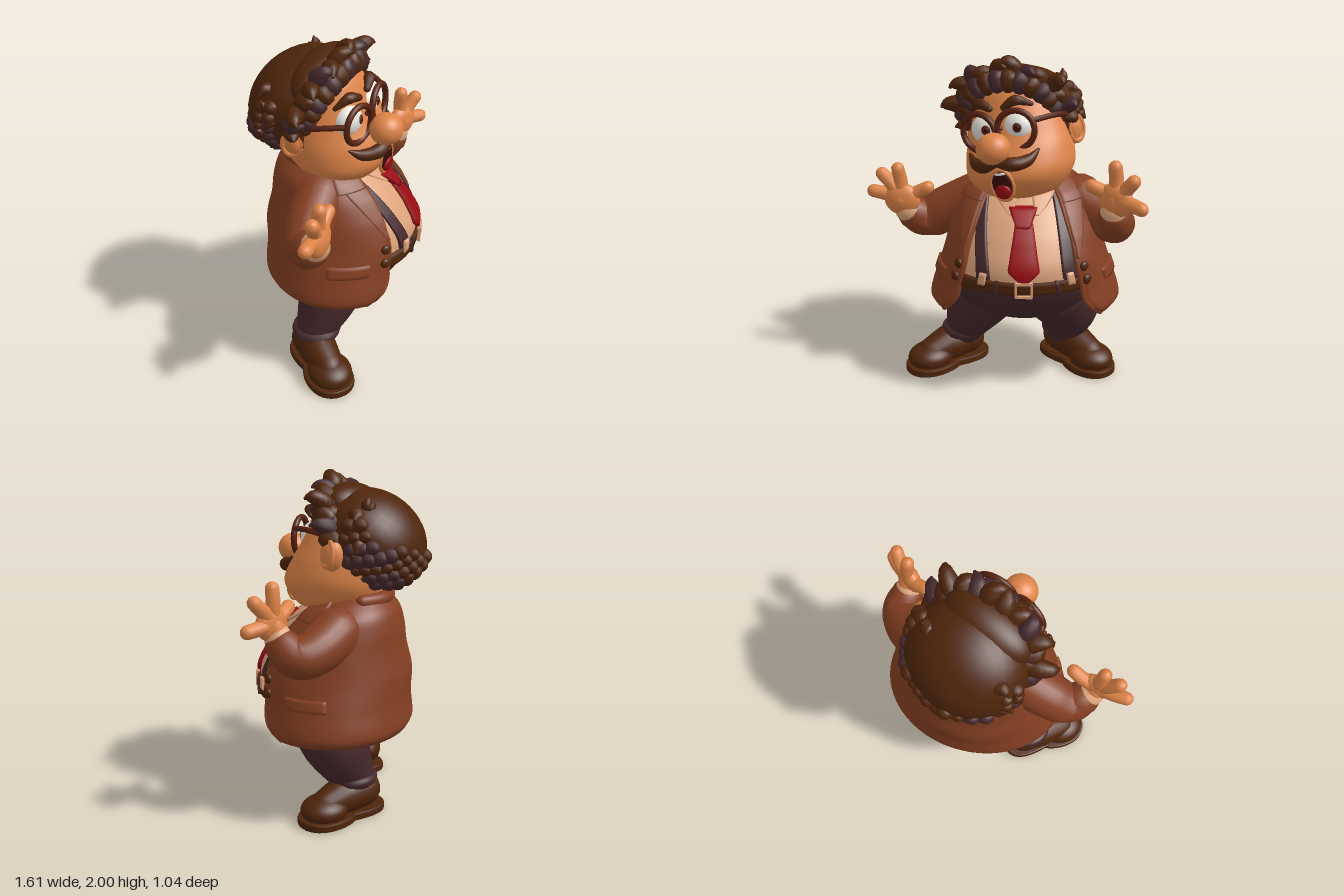
import * as THREE from 'three';

const V = (x, y, z) => new THREE.Vector3(x, y, z);
const D = Math.PI / 180;

function material(name, color) {
  const m = new THREE.MeshStandardMaterial({ color, side: THREE.DoubleSide });
  m.name = name;
  return m;
}

// Skin closed loops of points into a smooth surface
function loft(rows) {
  const n = rows[0].length, pos = [], idx = [];
  rows.forEach(r => r.forEach(p => pos.push(p.x, p.y, p.z)));
  for (let i = 0; i < rows.length - 1; i++) for (let j = 0; j < n; j++) {
    const a = i * n + j, b = i * n + (j + 1) % n, c = b + n, d = a + n;
    idx.push(a, b, c, a, c, d);
  }
  const g = new THREE.BufferGeometry();
  g.setAttribute('position', new THREE.Float32BufferAttribute(pos, 3));
  g.setIndex(idx);
  g.computeVertexNormals();
  return g;
}

// Rounded tapering tube through points [x, y, z, radius]
function limb(pts, seg = 14, sides = 14) {
  const curve = new THREE.CatmullRomCurve3(pts.map(p => V(p[0], p[1], p[2])));
  const fr = curve.computeFrenetFrames(seg), rows = [], k = pts.length - 1;
  const ring = (i, shift, scale) => {
    const f = i / seg * k, a = Math.min(Math.floor(f), k - 1);
    const r = THREE.MathUtils.lerp(pts[a][3], pts[a + 1][3], f - a);
    const c = curve.getPoint(i / seg).addScaledVector(fr.tangents[i], shift * r), row = [];
    for (let j = 0; j < sides; j++) {
      const t = j / sides * Math.PI * 2;
      row.push(c.clone().addScaledVector(fr.normals[i], Math.cos(t) * r * scale)
        .addScaledVector(fr.binormals[i], Math.sin(t) * r * scale));
    }
    rows.push(row);
  };
  for (let q = 4; q > 0; q--) ring(0, -Math.sin(q * 22.5 * D), Math.cos(q * 22.5 * D));
  for (let i = 0; i <= seg; i++) ring(i, 0, 1);
  for (let q = 1; q <= 4; q++) ring(seg, Math.sin(q * 22.5 * D), Math.cos(q * 22.5 * D));
  return loft(rows);
}

// Smoothly read a table of sections [y, radiusX, radiusZ, shiftZ]
function section(table, y) {
  let i = 0;
  while (i < table.length - 2 && y > table[i + 1][0]) i++;
  const at = k => table[Math.max(0, Math.min(table.length - 1, k))];
  const t = THREE.MathUtils.clamp((y - at(i)[0]) / (at(i + 1)[0] - at(i)[0]), 0, 1);
  return [1, 2, 3].map(c => {
    const [a, b, d, e] = [at(i - 1)[c], at(i)[c], at(i + 1)[c], at(i + 2)[c]];
    return b + 0.5 * t * (d - a + t * (2 * a - 5 * b + 4 * d - e + t * (3 * (b - d) + e - a)));
  });
}
const onBody = (table, y, phi, off) => {
  const [rx, rz, s] = section(table, y);
  return V((rx + off) * Math.sin(phi), y, s + (rz + off) * Math.cos(phi));
};

// Closed body from a section table
function shell(table, n = 36) {
  const y0 = table[0][0], y1 = table[table.length - 1][0], rows = [];
  for (let i = 0; i <= n; i++) {
    const y = y0 + (y1 - y0) * i / n;
    rows.push(Array.from({ length: 48 }, (_, j) => onBody(table, y, j / 48 * Math.PI * 2, 0)));
  }
  return loft(rows);
}

// Thick cloth panel wrapped on a section table; edges(y) gives its two angles in degrees
function wrap(table, y0, y1, edges, off, thick, cols = 8, n = 20) {
  const rows = [];
  for (let i = -1; i <= n + 1; i++) {
    const y = y0 + (y1 - y0) * Math.max(0, Math.min(n, i)) / n;
    const o = i < 0 || i > n ? off - thick : off, [a, b] = edges(y), row = [];
    for (let j = 0; j <= cols; j++) row.push(onBody(table, y, (a + (b - a) * j / cols) * D, o));
    for (let j = cols; j >= 0; j--) row.push(onBody(table, y, (a + (b - a) * j / cols) * D, off - thick));
    rows.push(row);
  }
  return loft(rows);
}

export function createModel() {
  const skin = material('skin', 0xde8448), coat = material('coat', 0x843f22), brown = material('dark brown', 0x4e250b),
    plum = material('plum', 0x45282b), shirt = material('shirt', 0xdda47c), red = material('red', 0x980d13),
    white = material('white', 0xe8e6e0), frame = material('frame brown', 0x572210), dark = material('dark mouth', 0x3a0c0c);
  const model = new THREE.Group(), body = new THREE.Group(), head = new THREE.Group();
  const add = (parent, name, geo, mat, p = [0, 0, 0], s = [1, 1, 1], r = [0, 0, 0]) => {
    const m = new THREE.Mesh(geo, mat);
    m.name = name; m.position.set(...p); m.scale.set(...s); m.rotation.set(...r);
    parent.add(m);
    return m;
  };
  const ball = new THREE.SphereGeometry(1, 28, 20), lump = new THREE.SphereGeometry(1, 9, 7);

  // Torso
  body.name = 'torso'; body.position.set(.01, 0, -.005); body.rotation.y = 35 * D;
  const torso = [[.51, .55, .46, 0], [.55, .58, .48, 0], [.7, .54, .467, 0], [.85, .49, .47, 0], [1, .45, .415, -.02],
    [1.12, .41, .36, -.06], [1.22, .36, .29, -.1], [1.3, .26, .2, -.12], [1.34, .15, .12, -.12]];
  const half = (y, s) => (s > 0 ? 40 : 46) - 8 * Math.max(0, (y - .95) / .35) + 18 * Math.max(0, (.66 - y) / .15) ** 2;
  add(body, 'shirt', wrap(torso, .72, 1.3, () => [-75, 75], -.03, .08, 24), shirt);
  add(body, 'trouserSeat', shell([[.41, .01, .01, 0], [.43, .19, .18, -.01], [.5, .36, .32, -.02], [.6, .45, .4, -.025], [.7, .48, .43, -.01], [.77, .46, .43, 0]]), plum);
  add(body, 'coat', wrap(torso, .51, 1.335, y => [half(y, 1), 360 - half(y, -1)], 0, .03, 56, 40), coat);
  add(body, 'belt', wrap(torso, .715, .785, () => [-65, 65], -.008, .04, 24, 4), brown);
  for (const [x, y, w, h] of [[0, .79, .1, .015], [0, .71, .1, .015], [-.045, .75, .015, .08], [.045, .75, .015, .08]])
    add(body, 'beltBuckle', new THREE.BoxGeometry(w, h, .02), shirt, [x, y, .467]);
  for (const a of [-18, 22])
    add(body, 'beltLoop', wrap(torso, .705, .795, () => [a - 1.3, a + 1.3], .001, .02, 2, 3), plum);
  // Tie: knot and blade
  const tieWidth = y => y < .86 ? 11 * (y - .775) / .085 + .3 : 11 - (y - .86) * 16;
  add(body, 'tie', wrap(torso, .775, 1.09, y => [-tieWidth(y), tieWidth(y)], -.005, .025, 8), red);
  add(body, 'tieKnot', wrap(torso, 1.075, 1.17, y => [-5 - (y - 1.07) * 80, 4 + (y - 1.07) * 70], .008, .04, 8, 6), red);
  for (const s of [-1, 1]) {
    const mirror = (a, b) => s > 0 ? [a, b] : [-b, -a];
    const slant = y => s > 0 ? 0 : (y - .93) * 32;
    add(body, 'suspender', wrap(torso, .79, 1.24, y => mirror(28 + slant(y), 38 + slant(y)), -.014, .02), plum);
    add(body, 'suspenderClip', wrap(torso, .76, .83, () => mirror(30 + slant(.8), 35 + slant(.8)), 0, .02, 4, 4), shirt);
    add(body, 'shirtCollar', wrap(torso, 1.13, 1.29, y => mirror(9 - (y - 1.13) * 20, 12 + (y - 1.13) * 190), -.008, .025), shirt);
    add(body, 'lapel', wrap(torso, .9, 1.2, y => mirror(half(y, s) - 1, half(y, s) + (y - .9) * 80), .014, .02), coat);
    add(body, 'lapelTop', wrap(torso, 1.18, 1.32, y => mirror(half(y, s) - 1, half(y, s) + 30), .016, .025), coat);
    add(body, 'pocketFlap', wrap(torso, .72, .785, () => mirror(62, 92), .014, .02, 10, 4), coat);
    for (const y of [.77, .85]) {
      const a = s * (half(y, s) + 4) * D, p = onBody(torso, y, a, .006);
      add(body, 'coatButton', ball, brown, p.toArray(), [.03, .03, .018], [0, a, 0]);
    }
    // Rolled front edge of the coat
    const edge = Array.from({ length: 12 }, (_, i) => {
      const y = .52 + i * .067;
      return [...onBody(torso, y, s * half(y, s) * D, -.012).toArray(), .016];
    });
    add(body, 'coatEdge', limb(edge, 36, 8), coat);
  }
  add(body, 'coatCollar', limb([-110, -145, 180, 145, 110].map(a => [.25 * Math.sin(a * D), 1.29, -.12 + .2 * Math.cos(a * D), .04])), coat);
  model.add(body);

  // Arms and hands, palms open
  const arms = [
    { sleeve: [[-.27, 1.13, .08, .15], [-.46, 1.03, .18, .14], [-.55, .975, .25, .125], [-.58, 1.02, .325, .105]],
      cuff: [[-.58, 1.02, .325, .092], [-.59, 1.055, .365, .085]], palm: [-.6, 1.13, .41], yaw: .45,
      tips: [[-.765, 1.17, .48], [-.7, 1.285, .465], [-.61, 1.32, .425], [-.46, 1.21, .335]] },
    { sleeve: [[.25, 1.13, -.23, .15], [.41, 1.06, -.23, .135], [.53, 1.035, -.19, .12], [.56, 1.1, -.12, .1]],
      cuff: [[.56, 1.1, -.12, .088], [.57, 1.145, -.095, .08]], palm: [.595, 1.23, -.07], yaw: 0,
      tips: [[.765, 1.21, -.06], [.71, 1.36, -.06], [.585, 1.42, -.07], [.445, 1.29, -.05]] }];
  for (const a of arms) {
    add(model, 'sleeve', limb(a.sleeve, 20, 22), coat);
    add(model, 'shirtCuff', limb(a.cuff, 4, 20), shirt);
    add(model, 'wrist', limb([[...a.cuff[1].slice(0, 3), .07], [...a.palm, .06]], 6), skin);
    add(model, 'palm', ball, skin, a.palm, [.11, .1, .055], [0, a.yaw, 0]);
    a.tips.forEach((t, i) => {
      const mid = V(...a.palm).lerp(V(...t), .55);
      mid.z -= .01;
      add(model, i === 3 ? 'thumb' : 'finger', limb([[...a.palm, .045], [...mid.toArray(), .042], [...t, .04]], 8, 12), skin);
    });
  }

  // Legs, trouser cuffs and shoes
  const legs = [
    { pts: [[-.18, .58, .08, .23], [-.27, .42, .13, .19], [-.37, .24, .13, .125]], shoe: [-.435, 0, .23], yaw: -18 },
    { pts: [[.19, .58, -.09, .23], [.2, .42, -.2, .2], [.14, .24, -.265, .135]], shoe: [.235, 0, -.265], yaw: 78 }];
  const soleShape = new THREE.Shape();
  soleShape.moveTo(0, -.28);
  soleShape.bezierCurveTo(.15, -.28, .11, -.08, .1, -.02);
  soleShape.bezierCurveTo(.16, .08, .15, .28, 0, .28);
  soleShape.bezierCurveTo(-.15, .28, -.16, .08, -.1, -.02);
  soleShape.bezierCurveTo(-.11, -.08, -.15, -.28, 0, -.28);
  const sole = new THREE.ExtrudeGeometry(soleShape, { depth: .03, bevelSize: .008, bevelThickness: .008, bevelSegments: 2, curveSegments: 14 });
  sole.rotateX(Math.PI / 2);
  for (const l of legs) {
    add(model, 'trouserLeg', limb(l.pts, 18, 24), plum);
    const e = l.pts[2];
    add(model, 'trouserCuff', new THREE.TorusGeometry(.118, .03, 10, 28), plum, [e[0], .23, e[2]], [1, 1, 1.2], [Math.PI / 2, 0, 0]);
    const shoe = new THREE.Group();
    shoe.name = 'shoe'; shoe.position.set(...l.shoe); shoe.rotation.y = l.yaw * D;
    add(shoe, 'sole', sole, brown, [0, .04, 0]);
    add(shoe, 'heel', new THREE.CylinderGeometry(.11, .11, .05, 24), brown, [0, .027, -.15]);
    add(shoe, 'toeCap', ball, brown, [0, .085, .125], [.132, .083, .148]);
    add(shoe, 'shoeUpper', limb([[0, .14, -.15, .112], [0, .135, -.02, .115], [0, .105, .12, .092]], 14, 20), brown);
    add(shoe, 'shoeCollar', new THREE.TorusGeometry(.095, .022, 8, 24), brown, [0, .22, -.11], [1, 1.1, 1], [Math.PI / 2 + .15, 0, 0]);
    for (let i = 0; i < 3; i++) {
      const y = .25 - i * .02, z = -.02 + i * .045;
      add(shoe, 'lace', limb([[-.06, y - .03, z, .009], [0, y, z + .01, .009], [.06, y - .03, z, .009]], 8, 6), frame);
    }
    model.add(shoe);
  }

  // Head
  head.name = 'head'; head.position.set(-.058, 1.5, -.06); head.rotation.set(0, 14 * D, 10 * D, 'YXZ');
  add(head, 'face', shell([[-.36, .01, .01, .06], [-.345, .12, .11, .06], [-.29, .24, .22, .07], [-.18, .32, .3, .07], [-.06, .325, .3, .045],
    [.06, .3, .27, .01], [.18, .26, .235, 0], [.3, .22, .2, -.02], [.38, .12, .12, -.03], [.4, .01, .01, -.03]]), skin);
  add(head, 'nose', ball, skin, [-.01, .022, .38], [.098, .09, .095]);
  // Open mouth
  add(head, 'mouth', ball, dark, [0, -.195, .357], [.066, .09, .022], [.12, 0, 0]);
  add(head, 'lips', new THREE.TorusGeometry(.068, .009, 10, 32), skin, [0, -.195, .36], [1, 1.35, 1], [.12, 0, 0]);
  add(head, 'tongue', ball, red, [0, -.232, .367], [.05, .046, .022], [.15, 0, 0]);
  add(head, 'teeth', ball, white, [0, -.128, .372], [.035, .01, .01]);
  for (const s of [-1, 1]) {
    add(head, 'eye', ball, white, [s * .097 - .014, .1, .195], [.096, .092, .08]);
    add(head, 'iris', ball, frame, [s * .097 + .008, .108, .271], [.026, .028, .007], [0, .25, 0]);
    add(head, 'pupil', ball, dark, [s * .097 + .01, .108, .276], [.014, .015, .005], [0, .25, 0]);
    add(head, 'glassesRim', new THREE.TorusGeometry(.108, .018, 10, 36), frame, [s * .114 - .014, .1, .28], [1, 1, 1], [0, s * .15, 0]);
    add(head, 'glassesArm', limb([[s * .217 - .01, .14, .26, .016], [s * .29, .135, .12, .016], [s * .325, .1, -.05, .014]], 8, 8), frame);
    add(head, 'eyebrow', limb([[s * .045 - .01, .225, .25, .02], [s * .11 - .01, .255, .23, .033], [s * .185 - .01, .22, .18, .014]], 10, 10), brown);
    add(head, 'moustache', limb([[-.005, -.05, .385, .03], [s * .09 - .005, -.076, .37, .042], [s * .165 - .005, -.07, .31, .034], [s * .215 - .005, -.025, .26, .008]], 16, 12), brown);
    add(head, 'ear', ball, skin, [s * .315, .01, -.05], [.05, .09, .065], [0, 0, -s * .15]);
    add(head, 'earRim', new THREE.TorusGeometry(.052, .014, 8, 20), skin, [s * .34, .015, -.035], [1, 1.35, 1], [0, Math.PI / 2 - s * .5, 0]);
    add(head, 'sideburn', limb([[s * .26, .22, .03, .05], [s * .29, .1, -.01, .045], [s * .312, .0, .01, .016]], 8, 8), brown);
  }
  add(head, 'glassesBridge', limb([[-.034, .115, .28, .015], [-.014, .125, .29, .015], [.006, .115, .28, .015]], 6, 8), frame);

  // Hair: smooth mass sloping down to the nape, with bumpy locks low on the sides and back
  const c = V(-.025, .125, -.14), r = V(.35, .265, .325), tilt = new THREE.Euler(-35 * D, 0, 0);
  add(head, 'hair', ball, brown, c.toArray(), r.toArray(), [tilt.x, 0, 0]);
  add(head, 'hairCrown', ball, brown, [-.02, .3, .01], [.27, .135, .15], [-.15, 0, 0]);
  for (let i = 0; i < 260; i++) {
    const y = 1 - 2 * (i + .5) / 260, q = Math.sqrt(1 - y * y), a = i * 2.39996, x = q * Math.cos(a);
    const p = V(x, y, q * Math.sin(a)).multiply(r).multiplyScalar(.96).applyEuler(tilt).add(c);
    const overFace = p.z > -.11 && p.y < .27, smooth = p.y > .06 && Math.abs(x) < .88;
    if (overFace || smooth) continue;
    const size = .04 + .006 * (i % 3), low = p.y < .14 && p.z > -.36 || p.y < -.08;
    add(head, 'hairLock', lump, low && i % 3 > 0 ? plum : brown, p.toArray(), [size, size * .9, size]);
  }
  // Small tufts down both sides
  for (const side of [-1, 1]) for (let i = 0; i < 5; i++) {
    const a = side * (50 + i * 17) * D, s = Math.sin(a), u = Math.cos(a), w = i % 2 ? .03 : -.03, z = -.2 + .03 * (i % 3);
    add(head, 'hairTuft', limb([[-.025 + s * .3, .125 + u * .24, z, .05], [-.025 + s * .345, .125 + u * .275, z, .035],
      [-.025 + s * .375 + w * u, .125 + u * .295 - w * s, z - .01, .008]], 8, 8), brown);
  }
  // Chunky curls along the hairline and hooked curls on the crown
  for (let i = 0; i < 15; i++) {
    const a = (-105 + i * 15) * D, s = Math.sin(a), u = Math.cos(a);
    const x = -.02 + .27 * s, y = .135 + .2 * u, z = .01 + .12 * u, h = .05 + .02 * (i % 3), w = i % 2 ? 1 : -1;
    add(head, 'fringeCurl', limb([[x * .9, y - .005, z + .025, .045], [x, y + .035, z + .045, .055], [x * 1.04, y + .05, z - .03, .055]], 8, 10), i % 2 ? plum : brown);
    add(head, 'hookedCurl', limb([[x, y + .01, z - .03, .065], [x + s * h, y + .03 + u * h, z - .01, .055], [x + s * h * 1.3 + w * .035, y + .035 + u * h * 1.2, z + .03, .032],
      [x + s * h + w * .07, y + .03 + u * h, z + .05, .01]], 10, 10), i % 4 === 1 ? plum : brown);
  }
  model.add(head);
  return model;
}
